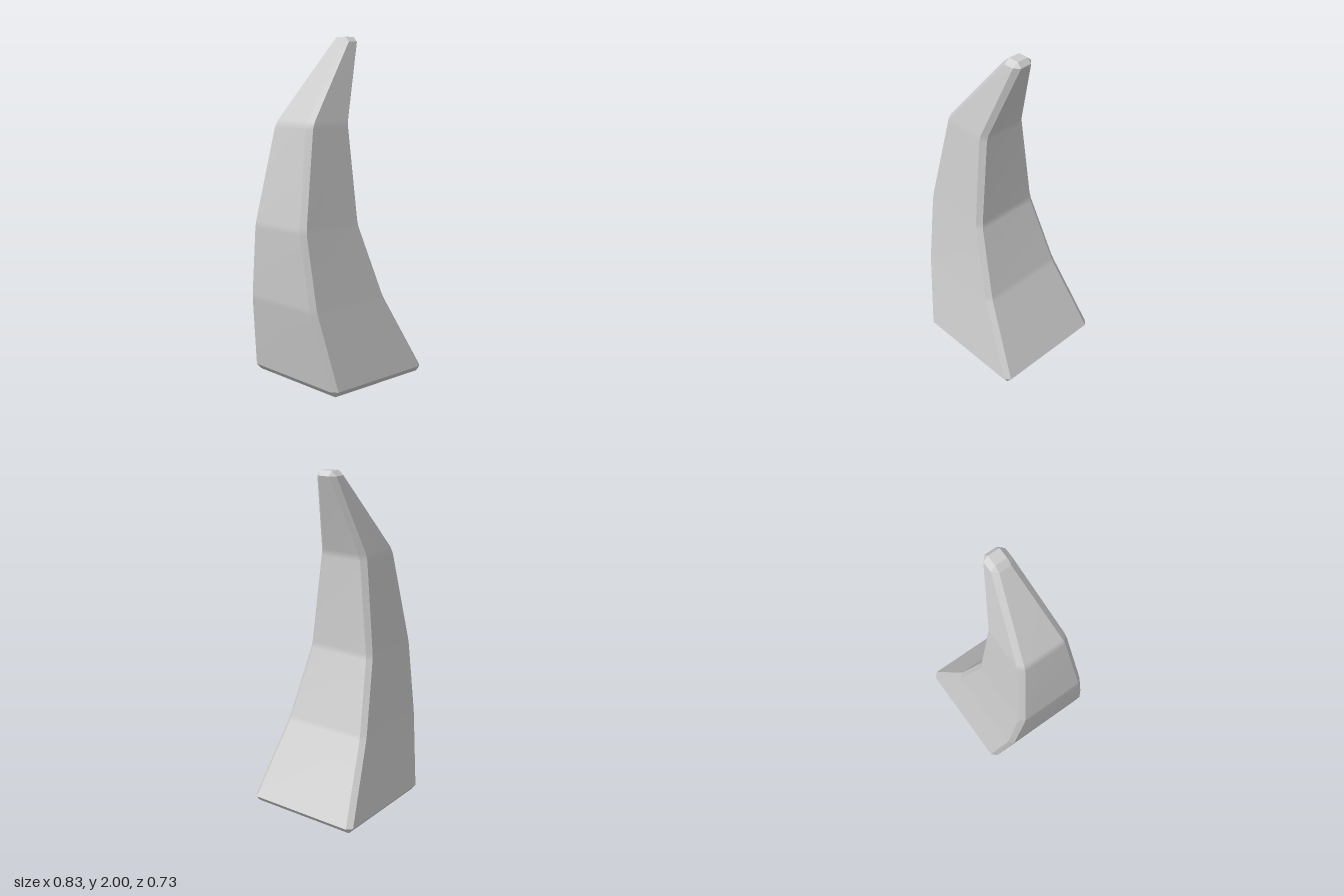
import * as THREE from 'three';
import { mergeGeometries } from 'three/addons/utils/BufferGeometryUtils.js';

// Horn stations: [y, left x, right x, half depth, chamfer]
const stations = [
  [0.035, -0.315, 0.415, 0.365, 0.03],
  [0.49, -0.4, 0.17, 0.285, 0.028],
  [0.93, -0.42, 0.023, 0.222, 0.028],
  [1.51, -0.315, 0.003, 0.16, 0.03],
  [1.972, 0.042, 0.165, 0.066, 0.03],
];
const bottom = [0, -0.283, 0.387, 0.337, 0];
const top = [2, 0.075, 0.14, 0.036, 0];

// Chamfered rectangle at one station
function ring([y, l, r, d, c]) {
  return [
    [r, -d + c], [r, d - c], [r - c, d], [l + c, d],
    [l, d - c], [l, -d + c], [l + c, -d], [r - c, -d],
  ].map(([x, z]) => [x, y, z]);
}

const mix = (a, b, t) => a.map((v, i) => v + (b[i] - v) * t);

function makeGeometry(points, index) {
  const g = new THREE.BufferGeometry();
  g.setAttribute('position', new THREE.Float32BufferAttribute(points.flat(), 3));
  g.setIndex(index);
  g.computeVertexNormals();
  return g;
}

// Eight separate strips through the rings: smooth along, sharp across
function strips(rings) {
  return Array.from({ length: 8 }, (_, k) => {
    const points = rings.flatMap((r) => [r[k], r[(k + 1) % 8]]);
    const index = [];
    for (let i = 0; i < rings.length - 1; i++) {
      const a = 2 * i;
      index.push(a, a + 2, a + 1, a + 1, a + 2, a + 3);
    }
    return makeGeometry(points, index);
  });
}

function cap(station, up) {
  const r = ring(station);
  const corners = [r[0], r[1], r[3], r[5]];
  return makeGeometry(corners, up ? [0, 2, 1, 0, 3, 2] : [0, 1, 2, 0, 2, 3]);
}

export function createModel() {
  // Each bend becomes two close rings so it is softly rounded
  const body = stations.flatMap((s, i) => {
    if (i === 0 || i === stations.length - 1) return [s];
    return [mix(s, stations[i - 1], 0.04), mix(s, stations[i + 1], 0.04)];
  });

  const geometry = mergeGeometries([
    ...strips(body.map(ring)),
    ...strips([ring(bottom), ring(stations[0])]),
    ...strips([ring(stations[stations.length - 1]), ring(top)]),
    cap(bottom, false),
    cap(top, true),
  ]);

  const horn = new THREE.Mesh(geometry, new THREE.MeshStandardMaterial({ color: 0xcccccc }));
  horn.name = 'horn';
  const group = new THREE.Group();
  group.name = 'curvedHorn';
  group.add(horn);
  return group;
}
